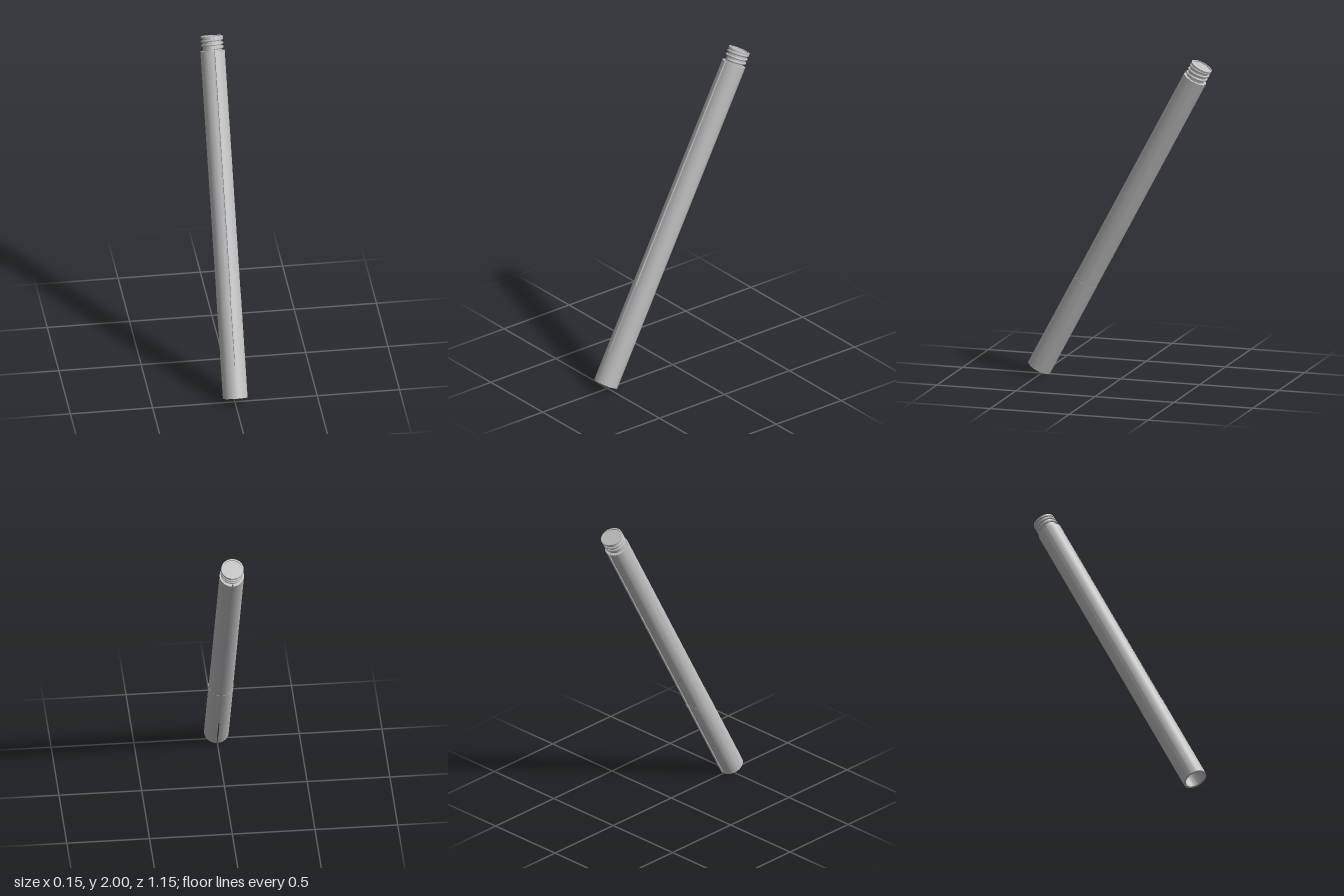
import * as THREE from 'three';
import { toCreasedNormals } from 'three/addons/utils/BufferGeometryUtils.js';

const greyMetal = new THREE.MeshStandardMaterial({ color: 0xbebebe, side: THREE.DoubleSide });
greyMetal.name = 'grey metal';

function add(parent, name, geometry) {
  const mesh = new THREE.Mesh(geometry, greyMetal);
  mesh.name = name;
  parent.add(mesh);
  return mesh;
}

// Curved wall running from height y0 to y1; angles are measured from the front towards +x
function shell(r, inner, a0, a1, y0, y1) {
  const q = Math.PI / 2;
  const s = new THREE.Shape();
  s.absarc(0, 0, r, a0 - q, a1 - q, false);
  s.absarc(0, 0, inner, a1 - q, a0 - q, true);
  const g = new THREE.ExtrudeGeometry(s, { depth: y1 - y0, bevelEnabled: false, curveSegments: 32 });
  g.rotateX(-q);
  g.translate(0, y0, 0);
  return toCreasedNormals(g, 0.5);
}

// Spiral ridge of the screw neck
class Helix extends THREE.Curve {
  constructor(r, y0, y1, turns) {
    super();
    Object.assign(this, { r, y0, y1, turns });
  }
  getPoint(t, target = new THREE.Vector3()) {
    const a = t * this.turns * Math.PI * 2;
    return target.set(this.r * Math.sin(a), this.y0 + (this.y1 - this.y0) * t, this.r * Math.cos(a));
  }
}

export function createModel() {
  const model = new THREE.Group();
  model.name = 'slottedTube';
  const tube = new THREE.Group();
  tube.name = 'tiltedTube';
  tube.position.set(0, 0.035, 0.515);
  tube.rotation.x = -0.489;
  model.add(tube);

  // Tube sections: [name, radius, front slot half angle, bottom, top]
  const inner = 0.061;
  const backGap = 0.06;
  const sections = [
    ['foot', 0.0745, 0, 0, 0.2],
    ['lowerSleeve', 0.0745, 0.03, 0.2, 0.63],
    ['upperSleeve', 0.0735, 0.07, 0.63, 2.1],
  ];
  for (const [name, r, gap, y0, y1] of sections) {
    add(tube, name + 'Left', shell(r, inner, gap, Math.PI - backGap, y0, y1));
    add(tube, name + 'Right', shell(r, inner, Math.PI + backGap, Math.PI * 2 - gap, y0, y1));
  }

  // Neck plug with a lip and a shallow recessed cap
  const profile = [
    [0, 2.07], [inner, 2.07], [inner, 2.1], [0.056, 2.1], [0.056, 2.178],
    [0.067, 2.178], [0.067, 2.19], [0.058, 2.19], [0.058, 2.184], [0, 2.184],
  ].map(([x, y]) => new THREE.Vector2(x, y));
  add(tube, 'neck', toCreasedNormals(new THREE.LatheGeometry(profile, 48), 0.5));

  // Screw thread
  add(tube, 'thread', new THREE.TubeGeometry(new Helix(0.0615, 2.115, 2.178, 2.5), 140, 0.007, 8, false));

  return model;
}
